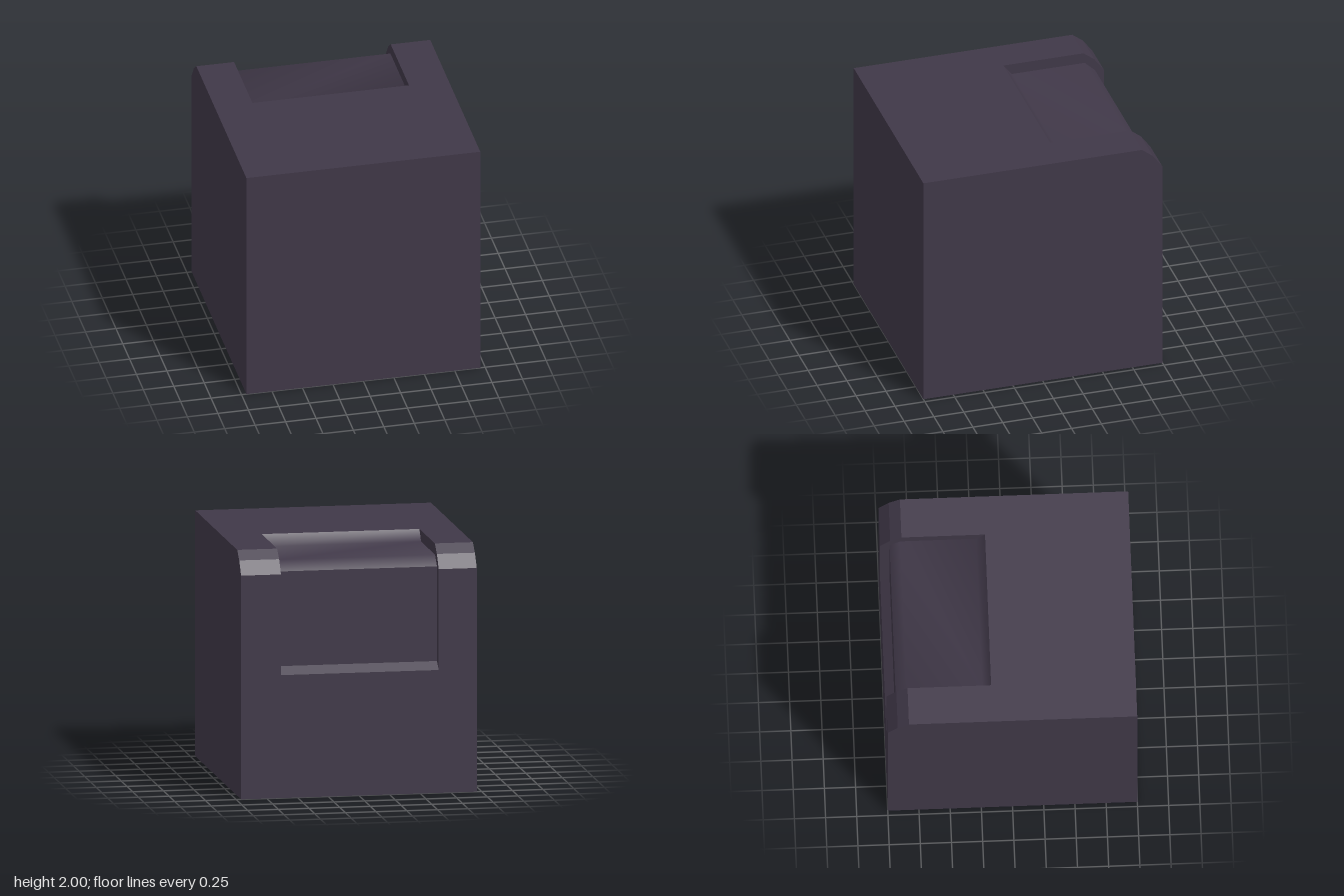
import * as THREE from 'three';
import { mergeGeometries, toCreasedNormals } from 'three/addons/utils/BufferGeometryUtils.js';

const W = 0.96;                 // half width
const R0 = -0.65, R1 = 0.635;   // recess sides
// profiles are [z, y] points, running front to back over the top
const CHAMFER = [[-0.83, 2], [-0.92, 1.93], [-1, 1.82]];
const FLOOR = [[-0.16, 2], [-0.23, 1.91], [-0.84, 1.91], [-0.925, 1.83]];
const RECESS_BACK = [[-0.925, 1.83], [-0.925, 1.06], [-1, 1]];

// sweep a profile straight across from x0 to x1, smoothing bends below the crease angle
function strip(profile, x0, x1, crease = 0.01) {
  const pos = [];
  for (let i = 0; i + 1 < profile.length; i++) {
    const [z0, y0] = profile[i], [z1, y1] = profile[i + 1];
    pos.push(x0, y0, z0, x1, y0, z0, x1, y1, z1, x0, y0, z0, x1, y1, z1, x0, y1, z1);
  }
  const g = new THREE.BufferGeometry();
  g.setAttribute('position', new THREE.Float32BufferAttribute(pos, 3));
  return toCreasedNormals(g, crease);
}

// flat polygon in the xy plane, facing +z
function panel(points) {
  const g = new THREE.ShapeGeometry(new THREE.Shape(points.map(p => new THREE.Vector2(...p)))).toNonIndexed();
  g.deleteAttribute('uv');
  return g;
}

// flat [z, y] polygon standing at x, facing +x (dir 1) or -x (dir -1)
function sidePanel(profile, x, dir) {
  return panel(profile.map(([z, y]) => [-dir * z, y])).rotateY(dir * Math.PI / 2).translate(x, 0, 0);
}

export function createModel() {
  const model = new THREE.Group();
  const plum = new THREE.MeshStandardMaterial({ color: 0x403848 });
  plum.name = 'dark plum';
  const add = (name, ...parts) => {
    const mesh = new THREE.Mesh(mergeGeometries(parts), plum);
    mesh.name = name;
    model.add(mesh);
  };

  // block: underside, front, notched top and back, chamfers and sides
  const outline = [[1, 0], [1, 2], ...CHAMFER, [-1, 0]];
  const top = panel([[-W, -1], [W, -1], [W, 0.83], [R1, 0.83], [R1, 0.16], [R0, 0.16], [R0, 0.83], [-W, 0.83]])
    .rotateX(-Math.PI / 2).translate(0, 2, 0);
  const back = panel([[-W, 0], [W, 0], [W, 1.82], [-R0, 1.82], [-R0, 1], [-R1, 1], [-R1, 1.82], [-W, 1.82]])
    .rotateY(Math.PI).translate(0, 0, -1);
  add('block',
    strip([[-1, 0], [1, 0], [1, 2]], -W, W), top, back,
    strip(CHAMFER, -W, R0), strip(CHAMFER, R1, W),
    sidePanel(outline, W, 1), sidePanel(outline, -W, -1));

  // recess: softly shaded floor, back wall with sloped ledge, side walls
  add('recessFloor', strip(FLOOR, R0, R1, 1.0));
  add('recessBack', strip(RECESS_BACK, R0, R1));
  const cheek = [FLOOR[0], ...CHAMFER, [-1, 1], [-0.925, 1.06], ...FLOOR.slice(1).reverse()];
  add('recessSides', sidePanel(cheek, R0, 1), sidePanel(cheek, R1, -1));

  return model;
}
